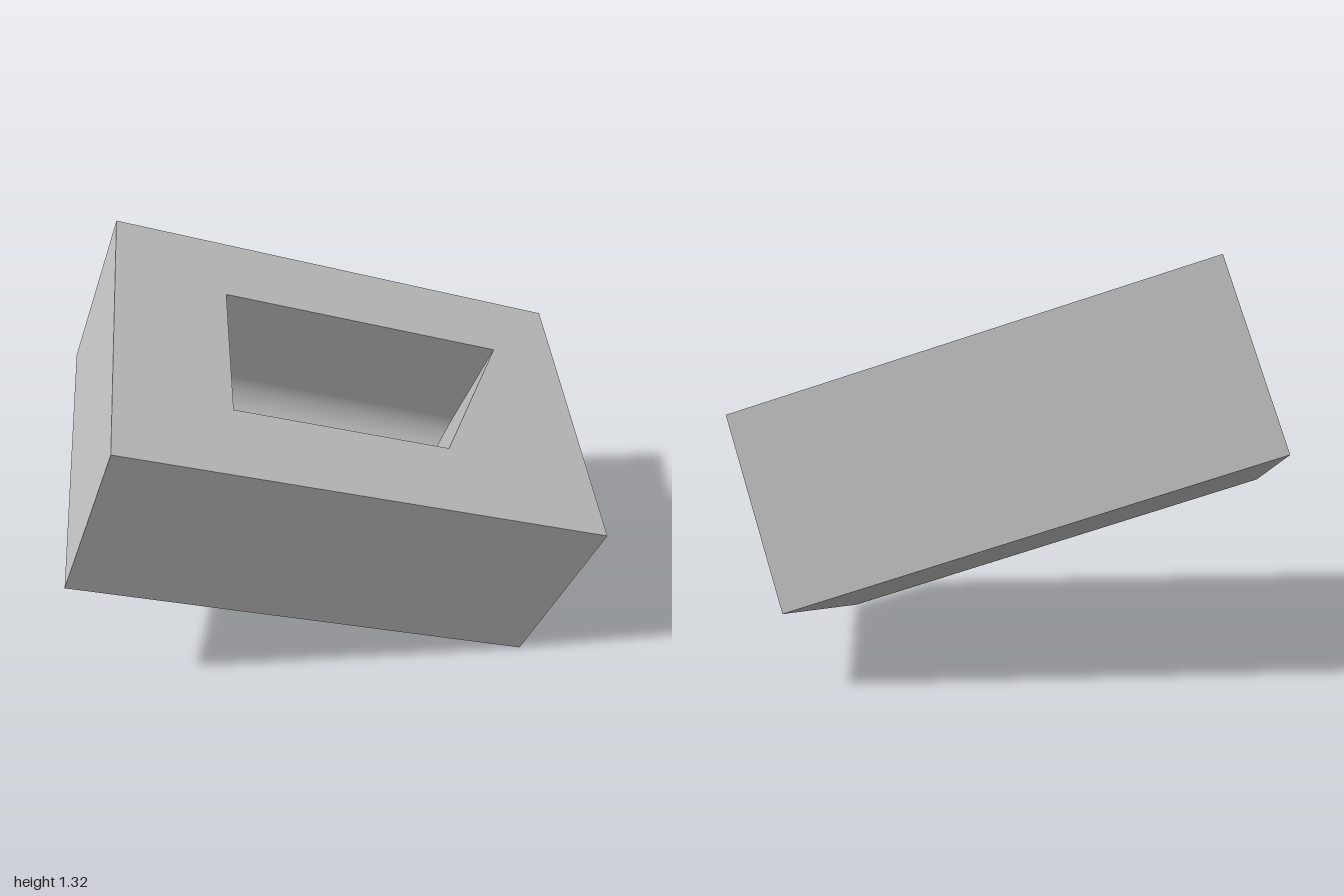
import * as THREE from 'three';

const L = 1.586, H = 0.634, W = 1.054;      // block length, height, width
const TOP = H / 2, FLOOR = TOP - 0.475;     // pocket rim and floor levels
const BACK = -0.265, FRONT = 0.263;         // pocket long walls (z)
const LEFT = -0.424, R = 0.12;              // square end (x), fillet radius
const slantX = z => 0.553 - 0.5 * (z - BACK); // slanted end of the pocket

// Pocket cross-section: back wall, rounded edges, floor, front wall
function pocketProfile() {
  const pts = [{ z: BACK, y: TOP, nz: 1, ny: 0 }];
  for (const [cz, start] of [[BACK + R, 0], [FRONT - R, Math.PI / 2]]) {
    for (let i = 0; i <= 14; i++) {
      const a = start + (i / 14) * Math.PI / 2;
      const nz = Math.cos(a), ny = Math.sin(a);
      pts.push({ z: cz - R * nz, y: FLOOR + R - R * ny, nz, ny });
    }
  }
  pts.push({ z: FRONT, y: TOP, nz: -1, ny: 0 });
  return pts;
}

// Smooth channel swept from the square end to the slanted end
function channelGeometry(profile) {
  const pos = [], nor = [], idx = [];
  profile.forEach((p, i) => {
    pos.push(LEFT, p.y, p.z, slantX(p.z), p.y, p.z);
    nor.push(0, p.ny, p.nz, 0, p.ny, p.nz);
    if (i < profile.length - 1) {
      const a = 2 * i;
      idx.push(a, a + 2, a + 1, a + 1, a + 2, a + 3);
    }
  });
  const g = new THREE.BufferGeometry();
  g.setAttribute('position', new THREE.Float32BufferAttribute(pos, 3));
  g.setAttribute('normal', new THREE.Float32BufferAttribute(nor, 3));
  g.setIndex(idx);
  return g;
}

// Flat end wall filling the cross-section at x = xAt(z)
function endGeometry(profile, xAt, flip) {
  const pos = [];
  for (let i = 1; i < profile.length - 1; i++) {
    const tri = [profile[0], profile[i], profile[i + 1]];
    if (flip) tri.reverse();
    for (const p of tri) pos.push(xAt(p.z), p.y, p.z);
  }
  const g = new THREE.BufferGeometry();
  g.setAttribute('position', new THREE.Float32BufferAttribute(pos, 3));
  g.computeVertexNormals();
  return g;
}

// Shape-plane y maps to -z once laid flat
const outline = (Type, pts) => new Type(pts.map(([x, z]) => new THREE.Vector2(x, -z)));

export function createModel() {
  const model = new THREE.Group();
  model.name = 'tiltedBlock';
  const grey = new THREE.MeshStandardMaterial({ color: 0xc0c0c0 });
  grey.name = 'grey';

  const block = new THREE.Group();
  block.name = 'pocketedBlock';
  const add = (name, geometry) => {
    const mesh = new THREE.Mesh(geometry, grey);
    mesh.name = name;
    block.add(mesh);
    return mesh;
  };

  // Sides and underside: a box without its top face
  const box = new THREE.BoxGeometry(L, H, W);
  const index = Array.from(box.index.array);
  index.splice(12, 6);
  box.setIndex(index);
  box.clearGroups();
  add('blockSides', box);

  // Top face with the trapezoid opening
  const face = outline(THREE.Shape, [[-L / 2, -W / 2], [L / 2, -W / 2], [L / 2, W / 2], [-L / 2, W / 2]]);
  face.holes.push(outline(THREE.Path, [
    [LEFT, BACK], [slantX(BACK), BACK], [slantX(FRONT), FRONT], [LEFT, FRONT],
  ]));
  add('topFace', new THREE.ShapeGeometry(face).rotateX(-Math.PI / 2)).position.y = TOP;

  // Pocket interior
  const profile = pocketProfile();
  add('pocketChannel', channelGeometry(profile));
  add('pocketSquareEnd', endGeometry(profile, () => LEFT, true));
  add('pocketSlantedEnd', endGeometry(profile, slantX, false));

  // Turn the block, then tip it so that it stands on one corner
  block.rotation.set(0, 0.645, -0.395, 'ZYX');
  block.position.y = 0.659;
  model.add(block);
  return model;
}
